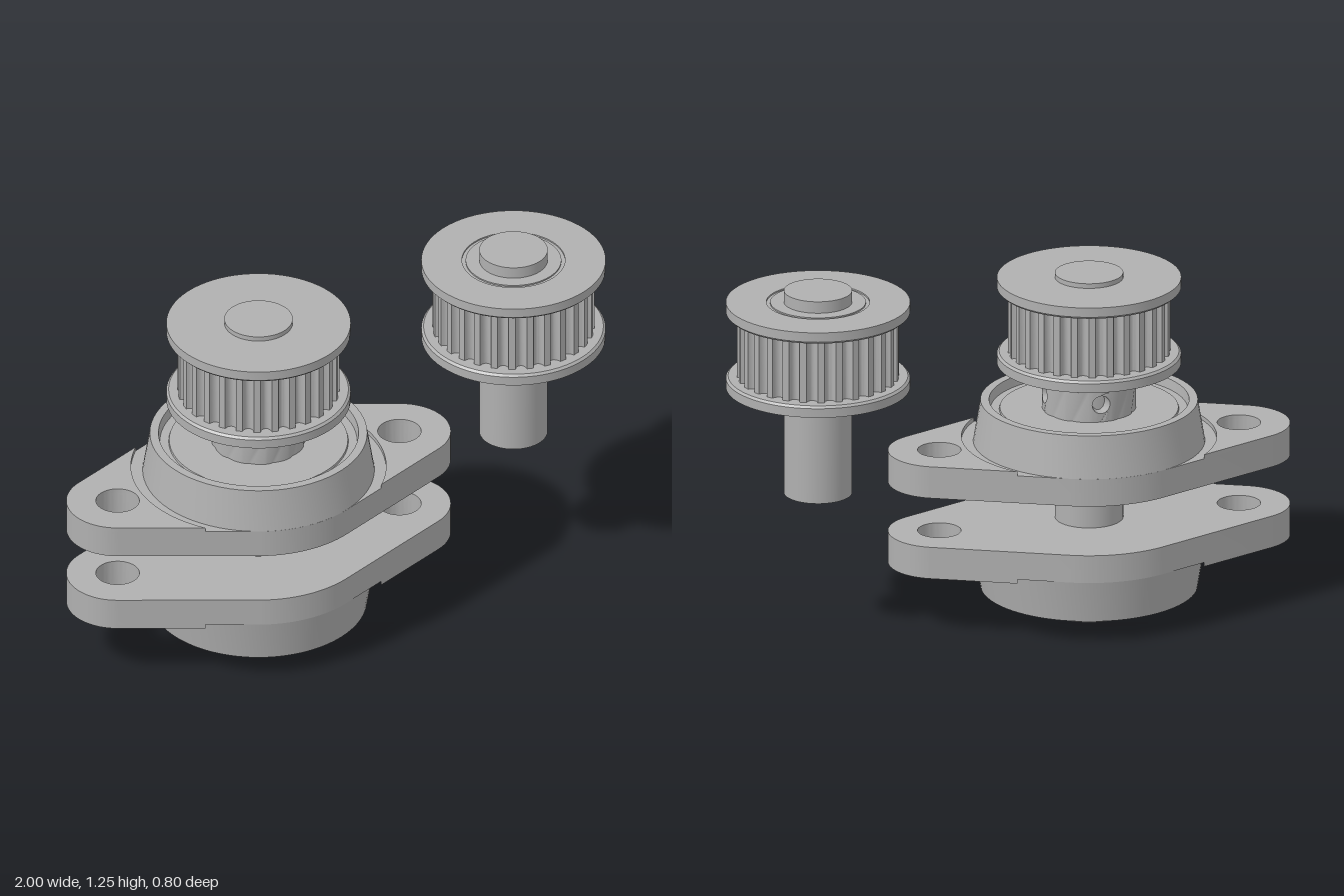
import * as THREE from 'three';
import { mergeGeometries, toCreasedNormals } from 'three/addons/utils/BufferGeometryUtils.js';

const steel = new THREE.MeshStandardMaterial({ color: 0xb0b0b0 });
steel.name = 'steel grey';

const SHAFT_R = 0.118;
const BODY_R = 0.4, EAR_R = 0.177, EAR_X = 0.535, GROOVE_R = 0.44;
const TANGENT = Math.acos((BODY_R - EAR_R) / EAR_X); // where the ear edge touches the body circle

function part(name, geometry) {
  const mesh = new THREE.Mesh(toCreasedNormals(geometry, 0.5), steel);
  mesh.name = name;
  return mesh;
}

function turned(name, profile) {
  return part(name, new THREE.LatheGeometry(profile.map(p => new THREE.Vector2(...p)), 72));
}

// Extrude a plan shape upwards from height y
function plate(shape, y, height) {
  const g = new THREE.ExtrudeGeometry(shape, { depth: height, bevelEnabled: false, curveSegments: 32 });
  return g.rotateX(-Math.PI / 2).translate(0, y, 0);
}

function boltHole(x) {
  return new THREE.Path().absarc(x, 0, 0.075, 0, Math.PI * 2, true);
}

// Two-bolt outline: body circle joined to both ears by tangent lines
function flangeShape() {
  const s = new THREE.Shape();
  s.absarc(EAR_X, 0, EAR_R, -TANGENT, TANGENT, false);
  s.absarc(0, 0, BODY_R, TANGENT, Math.PI - TANGENT, false);
  s.absarc(-EAR_X, 0, EAR_R, Math.PI - TANGENT, Math.PI + TANGENT, false);
  s.absarc(0, 0, BODY_R, Math.PI + TANGENT, Math.PI * 2 - TANGENT, false);
  s.holes.push(boltHole(EAR_X), boltHole(-EAR_X));
  return s;
}

// Raised pad on an ear, cut back by a circle around the housing
function earPadShape() {
  const a = TANGENT - Math.acos(BODY_R / GROOVE_R);
  const s = new THREE.Shape();
  s.absarc(EAR_X, 0, EAR_R, -TANGENT, TANGENT, false);
  s.absarc(0, 0, GROOVE_R, a, -a, true);
  s.holes.push(boltHole(EAR_X));
  return s;
}

// Collar made from curved panels, two of which carry set-screw holes
function collar() {
  const R = 0.162, wall = R - SHAFT_R - 0.001, bottom = 0.18, top = 0.33;
  const step = Math.PI / 6, half = R * step / 2, cuts = 6;
  const panels = [];
  for (let k = 0; k < 12; k++) {
    const pts = [];
    for (let i = 0; i <= cuts; i++) pts.push(new THREE.Vector2(-half + 2 * half * i / cuts, bottom));
    for (let i = cuts; i >= 0; i--) pts.push(new THREE.Vector2(-half + 2 * half * i / cuts, top));
    const s = new THREE.Shape(pts);
    if (k === 0 || k === 3) s.holes.push(new THREE.Path().absarc(0, 0.285, 0.032, 0, Math.PI * 2, true));
    const g = new THREE.ExtrudeGeometry(s, { depth: wall, bevelEnabled: false, curveSegments: 12 });
    const p = g.attributes.position;
    for (let i = 0; i < p.count; i++) {
      const a = k * step + p.getX(i) / R, r = R - wall + p.getZ(i);
      p.setXYZ(i, r * Math.cos(a), p.getY(i), -r * Math.sin(a));
    }
    panels.push(g);
  }
  return part('collar', mergeGeometries(panels));
}

function bearing(name) {
  const g = new THREE.Group();
  g.name = name;
  g.add(part('flange', plate(flangeShape(), 0, 0.1)));
  for (const turn of [0, Math.PI]) {
    g.add(part('earPad', plate(earPadShape(), 0.1, 0.015).rotateY(turn)));
  }
  // Tapered housing with a recessed face
  g.add(turned('housing', [
    [BODY_R, 0.099], [0.375, 0.25], [0.345, 0.25], [0.34, 0.215],
    [0.31, 0.215], [0.308, 0.222], [0.13, 0.222],
  ]));
  g.add(collar());
  return g;
}

// Toothed rim with rounded grooves
function toothShape() {
  const teeth = 28, R = 0.28, depth = 0.024, halfAngle = 0.07, pts = [];
  for (let k = 0; k < teeth; k++) {
    for (let i = -4; i <= 4; i++) {
      const t = Math.sin(i / 4 * Math.PI / 2);
      const a = (k + 0.5) / teeth * Math.PI * 2 + t * halfAngle;
      const r = R - depth * Math.sqrt(Math.max(0, 1 - t * t));
      pts.push(new THREE.Vector2(r * Math.cos(a), r * Math.sin(a)));
    }
  }
  return new THREE.Shape(pts);
}

function pulley(name, grooved) {
  const g = new THREE.Group();
  g.name = name;
  const R = 0.318, c = 0.008;
  g.add(part('teeth', plate(toothShape(), 0.93, 0.245)));
  g.add(turned('lowerRim', [[0, 0.897], [R, 0.897], [R, 0.938 - c], [R - c, 0.938], [0, 0.938]]));
  // Fine ring groove around the bore on the top face
  const groove = grooved ? [[0.178, 1.208], [0.178, 1.203], [0.165, 1.203], [0.165, 1.208]] : [];
  g.add(turned('upperRim', [[0, 1.166], [R - c, 1.166], [R, 1.166 + c], [R, 1.208], ...groove, [0, 1.208]]));
  return g;
}

function shaft(name, y0, y1) {
  const g = new THREE.CylinderGeometry(SHAFT_R, SHAFT_R, y1 - y0, 64);
  return part(name, g.translate(0, (y0 + y1) / 2, 0));
}

export function createModel() {
  const model = new THREE.Group();
  model.name = 'beltDrive';

  // Driven side: two mirrored bearings, a shaft and a pulley
  const driven = new THREE.Group();
  driven.name = 'drivenAssembly';
  driven.position.x = -0.287;
  const upper = bearing('upperBearing');
  upper.position.y = 0.51;
  const lower = bearing('lowerBearing');
  lower.rotation.x = Math.PI;
  lower.position.y = 0.33;
  driven.add(upper, lower, shaft('drivenShaft', 0.045, 1.225), pulley('drivenPulley', false));

  // Driving side: a short shaft and a pulley
  const driving = new THREE.Group();
  driving.name = 'drivingAssembly';
  driving.position.x = 0.681;
  driving.add(shaft('drivingShaft', 0.51, 1.25), pulley('drivingPulley', true));

  model.add(driven, driving);
  return model;
}
